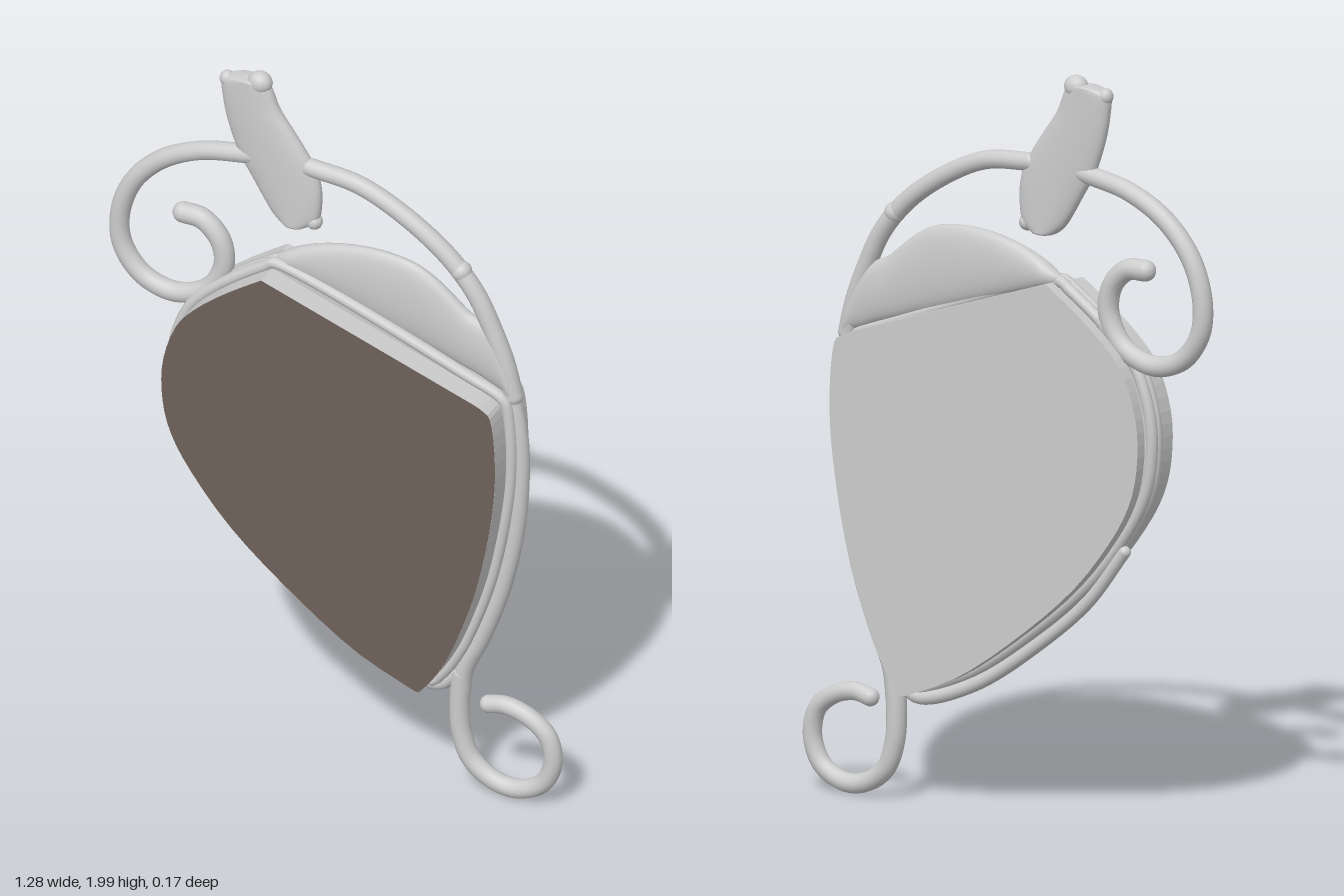
import * as THREE from 'three';

const Z = -0.017; // mid-plane of the frame

export function createModel() {
  const group = new THREE.Group();
  const silver = new THREE.MeshStandardMaterial({ color: 0xcccccc });
  silver.name = 'silver';
  const brown = new THREE.MeshStandardMaterial({ color: 0x6e605a });
  brown.name = 'brown glass';

  const add = (name, geometry, material = silver) => {
    const mesh = new THREE.Mesh(geometry, material);
    mesh.name = name;
    group.add(mesh);
    return mesh;
  };
  const ball = (name, x, y, r, sx = 1, sy = 1) => {
    const m = add(name, new THREE.SphereGeometry(r, 16, 12));
    m.position.set(x, y, Z);
    m.scale.set(sx, sy, 1);
    return m;
  };

  // Tapered tube with rounded ends through [x, y] points
  const vine = (name, pts, r0, r1 = r0, z = Z) => {
    const curve = new THREE.CatmullRomCurve3(pts.map(([x, y]) => new THREE.Vector3(x, y, z)), false, 'centripetal');
    const n = pts.length * 8, sides = 14;
    const geo = new THREE.TubeGeometry(curve, n, 1, sides);
    const pos = geo.attributes.position, v = new THREE.Vector3();
    for (let i = 0; i <= n; i++) {
      const c = curve.getPointAt(i / n), r = r0 + (r1 - r0) * i / n;
      for (let j = 0; j <= sides; j++) {
        const k = i * (sides + 1) + j;
        v.fromBufferAttribute(pos, k).sub(c).multiplyScalar(r).add(c);
        pos.setXYZ(k, v.x, v.y, v.z);
      }
    }
    add(name, geo);
    ball(name + 'Start', ...pts[0], r0);
    ball(name + 'End', ...pts[pts.length - 1], r1);
  };

  // Rounded body from [position, low, high] slices along x or y
  const loft = (name, slices, alongX, depth) => {
    const curve = new THREE.CatmullRomCurve3(slices.map((s) => new THREE.Vector3(...s)), false, 'centripetal');
    const n = slices.length * 4, sides = 28, pos = [], index = [];
    for (let i = 0; i <= n; i++) {
      const s = curve.getPoint(i / n);
      const mid = (s.y + s.z) / 2, half = Math.abs(s.z - s.y) / 2;
      const d = Math.min(depth, half);
      for (let j = 0; j < sides; j++) {
        const a = j / sides * Math.PI * 2;
        const c = Math.cos(a), q = Math.sin(a);
        const w = mid + half * c, z = Z + d * Math.sign(q) * Math.pow(Math.abs(q), 0.8);
        pos.push(...(alongX ? [s.x, w, z] : [w, s.x, z]));
        if (i < n) {
          const a0 = i * sides + j, b0 = i * sides + (j + 1) % sides;
          index.push(a0, b0, a0 + sides, b0, b0 + sides, a0 + sides);
        }
      }
    }
    const geo = new THREE.BufferGeometry();
    geo.setAttribute('position', new THREE.Float32BufferAttribute(pos, 3));
    geo.setIndex(index);
    geo.computeVertexNormals();
    add(name, geo);
  };

  // Outline of the glass: straight top, curved right side, pointed foot, curved left side
  const v2 = (pts) => pts.map(([x, y]) => new THREE.Vector2(x, y));
  const outline = (scale = 1) => {
    const f = ([x, y]) => [0.02 + (x - 0.02) * scale, 0.88 + (y - 0.88) * scale];
    const s = new THREE.Shape();
    s.moveTo(...f([-0.17, 1.44]));
    s.lineTo(...f([0.40, 1.243]));
    s.splineThru(v2([[0.458, 1.22], [0.484, 1.185], [0.495, 1.05], [0.484, 0.893], [0.442, 0.675],
      [0.378, 0.485], [0.325, 0.38], [0.278, 0.318]].map(f)));
    s.splineThru(v2([[0.24, 0.33], [0.087, 0.40], [-0.098, 0.532], [-0.257, 0.67], [-0.373, 0.813],
      [-0.431, 0.92], [-0.452, 1.025], [-0.447, 1.13], [-0.41, 1.237], [-0.352, 1.306],
      [-0.267, 1.375], [-0.17, 1.44]].map(f)));
    return s;
  };
  const slab = (name, scale, z, depth) => {
    const geo = new THREE.ExtrudeGeometry(outline(scale), { depth, bevelEnabled: false, curveSegments: 3 });
    add(name, geo.translate(0, 0, z));
  };
  slab('frontPanel', 1, 0.02, 0.064);
  slab('backPanel', 1.025, -0.086, 0.031);
  add('glassFace', new THREE.ShapeGeometry(outline(), 3).translate(0, 0, 0.085), brown);

  // Bezel hugging the glass
  const rim = outline(1.014).getPoints(3).slice(0, -1).map((p) => new THREE.Vector3(p.x, p.y, 0));
  const rimCurve = new THREE.CatmullRomCurve3(rim, true, 'centripetal');
  add('bezel', new THREE.TubeGeometry(rimCurve, 220, 0.016, 10, true).translate(0, 0, 0.004));
  add('innerBezel', new THREE.TubeGeometry(rimCurve, 220, 0.016, 10, true).translate(0, 0, -0.016));

  // Right stem running down into the lower curl
  vine('rightStem', [[0.46, 1.36], [0.495, 1.22], [0.515, 1.12], [0.521, 1.01], [0.507, 0.82], [0.463, 0.62],
    [0.405, 0.46], [0.36, 0.36], [0.347, 0.27]], 0.02, 0.026);
  vine('lowerCurl', [[0.352, 0.34], [0.345, 0.25], [0.35, 0.165], [0.378, 0.09], [0.44, 0.043], [0.51, 0.034],
    [0.58, 0.07], [0.61, 0.14], [0.595, 0.215], [0.54, 0.26], [0.475, 0.277], [0.428, 0.268]], 0.027, 0.024);
  // Second rail under the left side
  vine('lowerRail', [[-0.375, 0.765], [-0.257, 0.615], [-0.098, 0.48], [0.087, 0.355], [0.24, 0.295],
    [0.29, 0.295], [0.345, 0.345]], 0.016, 0.02);

  // Upper vine: left curl and right arm
  vine('upperCurl', [[-0.44, 1.515], [-0.385, 1.51], [-0.335, 1.46], [-0.325, 1.385], [-0.37, 1.305], [-0.465, 1.268],
    [-0.555, 1.295], [-0.612, 1.37], [-0.62, 1.46], [-0.585, 1.565], [-0.505, 1.655], [-0.39, 1.715],
    [-0.24, 1.745]], 0.028, 0.025);
  vine('upperArm', [[-0.08, 1.75], [0.06, 1.735], [0.19, 1.677], [0.31, 1.592], [0.39, 1.50], [0.44, 1.40],
    [0.475, 1.31], [0.498, 1.22]], 0.024, 0.026);
  ball('vineNode', 0.35, 1.555, 0.028);
  vine('leftJoint', [[-0.36, 1.30], [-0.31, 1.36]], 0.022);

  // Leaf filling the space over the top edge
  loft('leaf', [[-0.18, 1.452, 1.454], [-0.17, 1.443, 1.465], [-0.1, 1.42, 1.507], [-0.02, 1.395, 1.535],
    [0.06, 1.37, 1.55], [0.14, 1.345, 1.553], [0.22, 1.32, 1.54], [0.275, 1.303, 1.513], [0.325, 1.285, 1.475],
    [0.37, 1.27, 1.438], [0.40, 1.26, 1.425], [0.44, 1.243, 1.405], [0.475, 1.23, 1.34], [0.50, 1.21, 1.25],
    [0.505, 1.225, 1.228]], true, 0.028);

  // Perched bird with ear tufts and feet
  loft('birdBody', [[1.978, -0.262, -0.258], [1.97, -0.31, -0.205], [1.955, -0.328, -0.19], [1.90, -0.325, -0.167],
    [1.847, -0.315, -0.13], [1.794, -0.299, -0.093], [1.74, -0.278, -0.061], [1.688, -0.246, -0.048],
    [1.635, -0.214, -0.048], [1.597, -0.188, -0.056], [1.57, -0.155, -0.088], [1.564, -0.125, -0.121]], false, 0.029);
  ball('leftTuft', -0.222, 1.968, 0.028, 1.2, 1.1);
  ball('rightTuft', -0.315, 1.955, 0.02, 1, 1.1);
  ball('foot', -0.068, 1.59, 0.022);
  return group;
}
